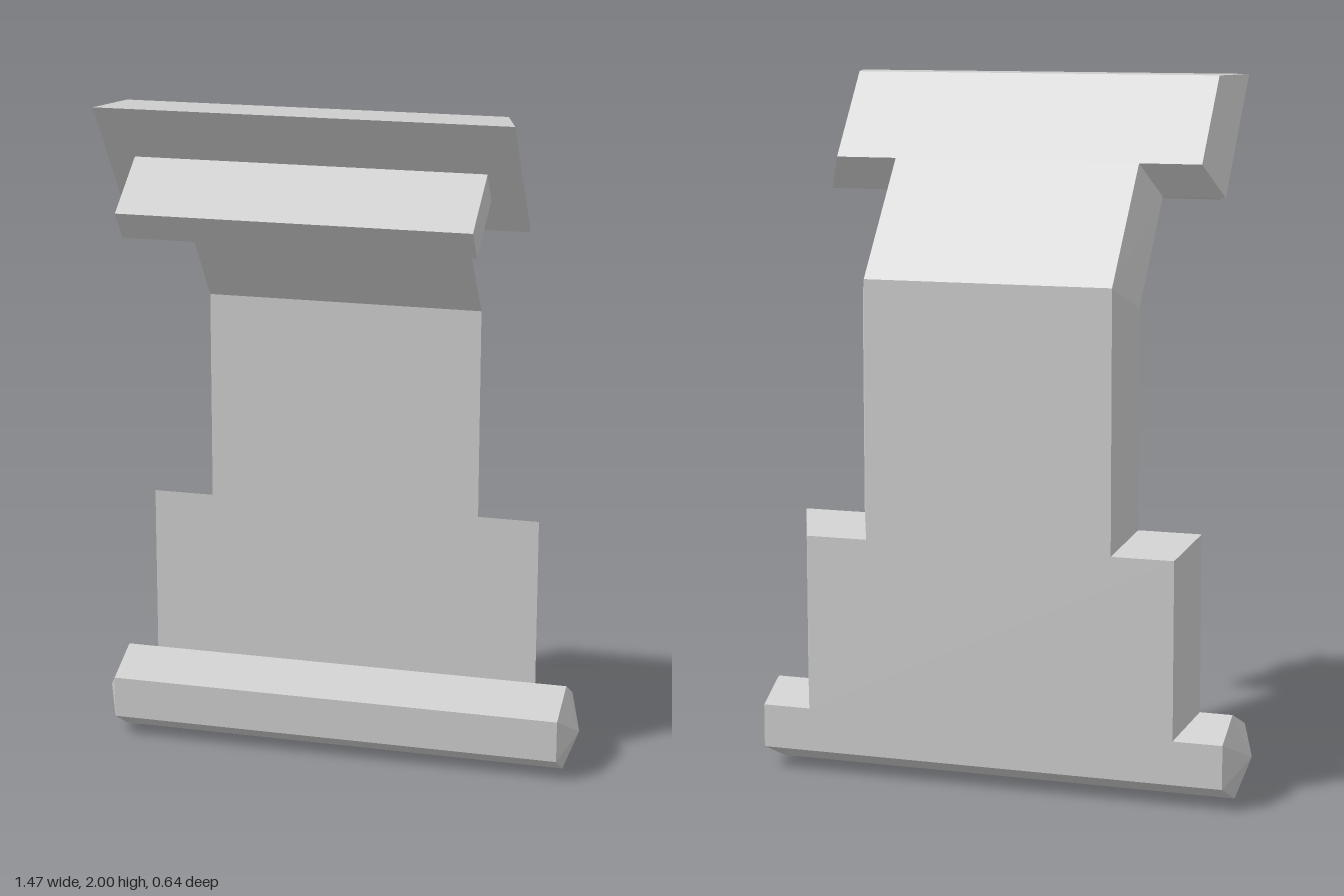
import * as THREE from 'three';

const material = new THREE.MeshStandardMaterial({ color: 0xcccccc, flatShading: true });

function addMesh(parent, name, geometry) {
  const mesh = new THREE.Mesh(geometry, material);
  mesh.name = name;
  parent.add(mesh);
  return mesh;
}

// Chamfered slab: a box whose corners move to the front/back [z, y] ends of two
// cross-sections; the back is narrower than the front.
function slab(lower, upper, frontHalf, backHalf) {
  const geometry = new THREE.BoxGeometry(2, 2, 2);
  const pos = geometry.attributes.position;
  for (let i = 0; i < pos.count; i++) {
    const row = pos.getY(i) > 0 ? upper : lower;
    const isFront = pos.getZ(i) > 0;
    const [z, y] = isFront ? row.front : row.back;
    pos.setXYZ(i, pos.getX(i) * (isFront ? frontHalf : backHalf), y, z);
  }
  geometry.computeVertexNormals();
  return geometry;
}

// Prism along x from a [z, y] profile (top, front, bottom, back), with pointed ends.
function pointedBar(profile, half, tipHalf, tip) {
  const verts = [];
  const at = (x, [z, y]) => [x, y, z];
  profile.forEach((a, i) => {
    const b = profile[(i + 1) % profile.length];
    verts.push(...at(-half, b), ...at(half, b), ...at(half, a));
    verts.push(...at(-half, b), ...at(half, a), ...at(-half, a));
    verts.push(...at(half, a), ...at(half, b), ...at(tipHalf, tip));
    verts.push(...at(-half, b), ...at(-half, a), ...at(-tipHalf, tip));
  });
  const geometry = new THREE.BufferGeometry();
  geometry.setAttribute('position', new THREE.Float32BufferAttribute(verts, 3));
  geometry.computeVertexNormals();
  return geometry;
}

export function createModel() {
  const model = new THREE.Group();
  model.name = 'bentPanel';

  // Cross-sections up the bent plate
  const foot = { front: [-0.212, 0.25], back: [-0.32, 0.19] };
  const step = { front: [-0.212, 0.755], back: [-0.32, 0.698] };
  const bend = { front: [-0.212, 1.377], back: [-0.32, 1.44] };
  const shoulder = { front: [0.01, 1.665], back: [-0.068, 1.762] };
  const top = { front: [0.258, 2], back: [0.11, 2] };

  // Plate: wide base, narrow column and neck, wide head
  addMesh(model, 'basePlate', slab(foot, step, 0.591, 0.543));
  addMesh(model, 'column', slab(step, bend, 0.409, 0.362));
  addMesh(model, 'neck', slab(bend, shoulder, 0.409, 0.362));
  addMesh(model, 'head', slab(shoulder, top, 0.591, 0.543));

  // Six-sided foot bar with pointed ends
  const hexagon = [
    [-0.212, 0.25], [-0.07, 0.19], [-0.07, 0.065],
    [-0.178, 0], [-0.32, 0.065], [-0.32, 0.19],
  ];
  addMesh(model, 'footBar', pointedBar(hexagon, 0.685, 0.733, [-0.178, 0.125]));

  // Ledge standing square off the front of the head
  const inner = { front: [0.145, 1.847], back: [0.09, 1.765] };
  const outer = { front: [0.322, 1.72], back: [0.262, 1.64] };
  const ledge = addMesh(model, 'ledge', slab(
    { front: outer.back, back: inner.back },
    { front: outer.front, back: inner.front }, 0.503, 0.503));
  ledge.position.x = -0.008;

  return model;
}
